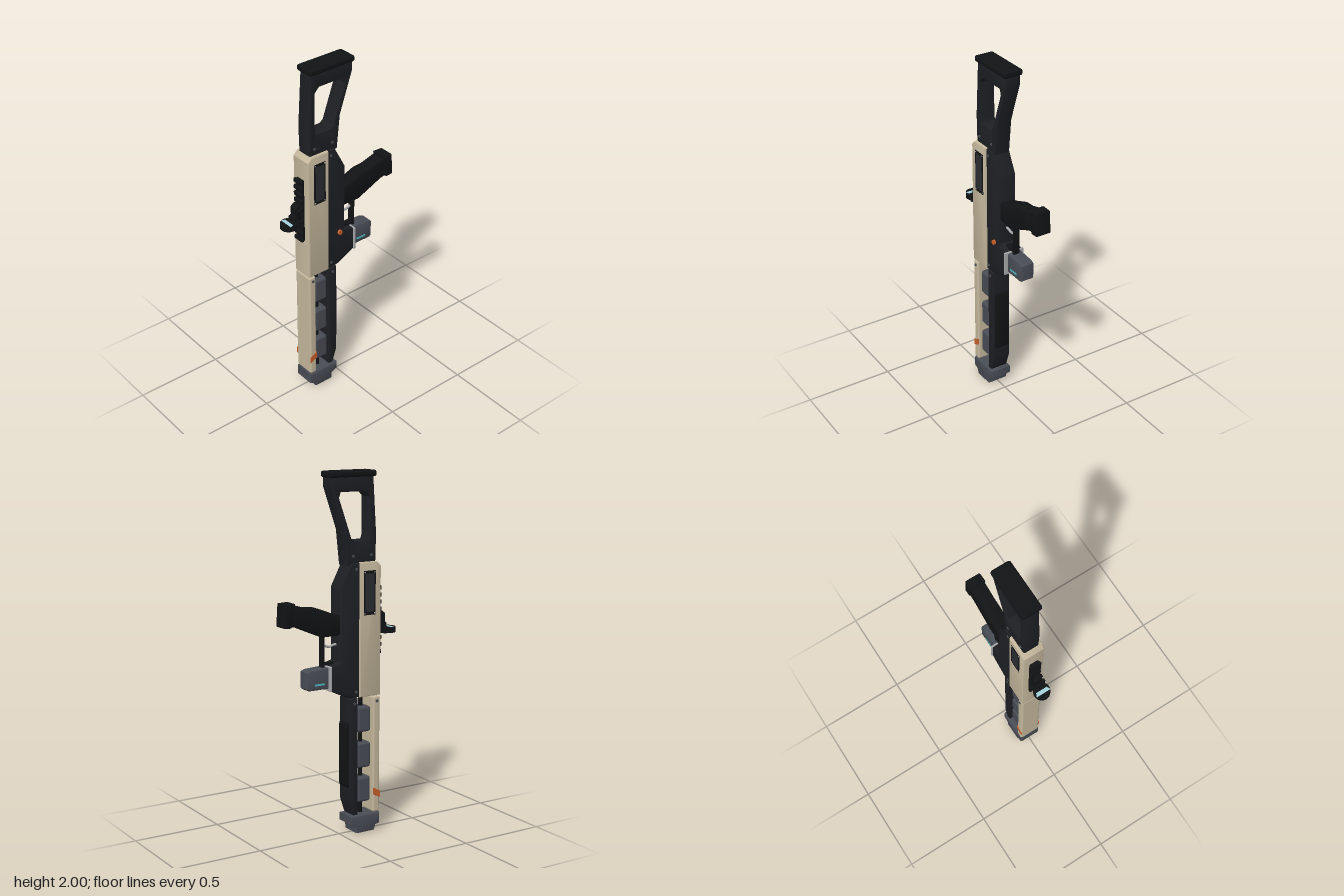
import * as THREE from 'three';
import { RoundedBoxGeometry } from 'three/addons/geometries/RoundedBoxGeometry.js';
import { toCreasedNormals } from 'three/addons/utils/BufferGeometryUtils.js';

const mat = (color) => new THREE.MeshStandardMaterial({ color });

export function createModel() {
  const group = new THREE.Group();
  const tan = mat(0xc4b79c), dark = mat(0x1d1f23), black = mat(0x121315), grey = mat(0x484c54);
  const light = mat(0xa8a9ab), orange = mat(0xc8602a), cyan = mat(0x4fbccb), glass = mat(0xa4d3dc);

  const add = (name, geometry, material, x = 0, y = 0, z = 0) => {
    const mesh = new THREE.Mesh(geometry, material);
    mesh.name = name;
    mesh.position.set(x, y, z);
    group.add(mesh);
    return mesh;
  };
  // Side profile of [z, y] points, extruded across x with chamfered edges
  const profile = (name, points, halfWidth, bevel, material, hole, x = 0) => {
    const shape = new THREE.Shape(points.map(([z, y]) => new THREE.Vector2(z, y)));
    if (hole) shape.holes.push(new THREE.Path(hole.map(([z, y]) => new THREE.Vector2(z, y))));
    const depth = 2 * (halfWidth - bevel);
    const geometry = new THREE.ExtrudeGeometry(shape, {
      depth, bevelEnabled: bevel > 0, bevelThickness: bevel, bevelSize: bevel, bevelOffset: -bevel, bevelSegments: 2,
    });
    geometry.translate(0, 0, -depth / 2).rotateY(-Math.PI / 2);
    return add(name, toCreasedNormals(geometry, 0.5), material, x);
  };
  // Box given by its extents in y and z, centred on x
  const box = (name, hw, y0, y1, z0, z1, material, radius = 0, x = 0) => {
    const size = [2 * hw, y1 - y0, z1 - z0];
    const geometry = radius ? new RoundedBoxGeometry(...size, 2, radius) : new THREE.BoxGeometry(...size);
    return add(name, geometry, material, x, (y0 + y1) / 2, (z0 + z1) / 2);
  };
  const pin = (name, r, x0, x1, y, z, material) =>
    add(name, new THREE.CylinderGeometry(r, r, x1 - x0, 16).rotateZ(Math.PI / 2), material, (x0 + x1) / 2, y, z);

  // Receiver
  profile('upperReceiver', [[0.095, 0.777], [0.23, 0.777], [0.23, 1.49], [0.205, 1.515], [0.095, 1.515]], 0.062, 0.007, tan);
  profile('lowerReceiver', [
    [0.1, 0.777], [0.1, 1.515], [0.045, 1.51], [-0.02, 1.385], [-0.02, 0.985], [-0.085, 0.965], [-0.085, 0.835], [0.03, 0.779],
  ], 0.055, 0.01, dark);

  // Stock with open centre and butt pad
  profile('stock', [
    [0.025, 1.5], [0.205, 1.5], [0.21, 1.66], [0.19, 1.975], [-0.075, 1.975], [-0.075, 1.92], [0.005, 1.69],
  ], 0.045, 0.008, dark, [
    [0.16, 1.63], [0.167, 1.65], [0.168, 1.86], [0.14, 1.89], [-0.015, 1.89], [-0.025, 1.86], [0.052, 1.645], [0.072, 1.63],
  ]);
  box('buttPad', 0.056, 1.966, 2, -0.082, 0.205, black, 0.012);

  // Grip with ribs and end cap
  profile('pistolGrip', [
    [0, 1.24], [-0.02, 1.238], [-0.06, 1.25], [-0.15, 1.285], [-0.21, 1.29], [-0.31, 1.318],
    [-0.335, 1.205], [-0.285, 1.197], [-0.205, 1.162], [-0.125, 1.128], [-0.03, 1.128], [0, 1.14],
  ], 0.042, 0.011, black);
  profile('gripCap', [[-0.297, 1.325], [-0.355, 1.323], [-0.363, 1.2], [-0.32, 1.197]], 0.046, 0.006, black);

  // Trigger and guard
  box('triggerGuard', 0.018, 0.96, 1.135, -0.116, -0.104, black);
  box('triggerGuardBase', 0.018, 0.97, 0.982, -0.116, -0.01, black);
  const triggerPath = new THREE.CatmullRomCurve3([[0.01, 1.075], [-0.03, 1.075], [-0.065, 1.067], [-0.1, 1.078]]
    .map(([z, y]) => new THREE.Vector3(0, y, z)));
  add('trigger', new THREE.TubeGeometry(triggerPath, 14, 0.007, 8), light);

  // Power cell with indicator strips
  box('cellCollar', 0.061, 0.832, 0.968, -0.092, -0.08, light, 0.004);
  profile('powerCell', [
    [-0.08, 0.845], [-0.08, 0.962], [-0.2, 0.955], [-0.222, 0.945], [-0.222, 0.855], [-0.21, 0.845],
  ], 0.04, 0.008, grey);
  for (const s of [-1, 1]) box('cellIndicator', 0.002, 0.87, 0.88, -0.176, -0.114, cyan, 0, s * 0.04);

  // Fore-end: tan cover, dark underside, rod and coils between
  box('foreEndCover', 0.061, 0.108, 0.772, 0.185, 0.23, tan, 0.012);
  profile('foreEndUnderside', [[0.09, 0.108], [0.09, 0.772], [0.038, 0.772], [0.038, 0.19], [0.065, 0.108]], 0.055, 0.009, dark);
  profile('foreGripPad', [[0.06, 0.27], [0.06, 0.635], [0.03, 0.635], [0.025, 0.62], [0.025, 0.285], [0.03, 0.27]], 0.042, 0.005, black);
  add('centreRod', new THREE.CylinderGeometry(0.012, 0.012, 0.7, 16), black, 0, 0.44, 0.138);
  for (const y of [0.645, 0.442, 0.245]) {
    box('coil', 0.044, y - 0.072, y + 0.072, 0.095, 0.181, grey, 0.015);
  }

  // Muzzle block with vent slot
  profile('muzzleBlock', [
    [0.04, 0.06], [0.04, 0.104], [0.23, 0.104], [0.23, 0.04], [0.203, 0.035], [0.193, 0.004], [0.08, 0.004], [0.077, 0.043],
  ], 0.063, 0.007, grey);
  box('muzzleSlot', 0.045, 0, 0.01, 0.115, 0.155, black);
  box('muzzleBand', 0.061, 0.03, 0.036, 0.085, 0.2, dark);

  // Top rail with teeth
  box('railBase', 0.026, 1.005, 1.375, 0.228, 0.243, black);
  for (let i = 0; i < 10; i++) {
    const y = 1.014 + i * 0.039;
    box('railTooth', 0.032, y - 0.011, y + 0.011, 0.24, 0.255, black, 0.003);
  }

  // Sight: mount, clamps, round housing and lens
  profile('sightMount', [
    [0.25, 1.11], [0.25, 1.235], [0.268, 1.235], [0.285, 1.22], [0.285, 1.175], [0.295, 1.165], [0.295, 1.11],
  ], 0.022, 0.003, black);
  for (const s of [-1, 1]) box('sightClamp', 0.012, 1.11, 1.15, 0.266, 0.282, black, 0.003, s * 0.033);
  add('sightHousing', new THREE.CylinderGeometry(0.045, 0.045, 0.03, 32), black, 0, 1.125, 0.316);
  const lens = new THREE.Shape([[-0.043, 0.011], [0.043, 0.011], [0.033, -0.011], [-0.033, -0.011]]
    .map(([x, z]) => new THREE.Vector2(x, z)));
  for (const s of [-1, 1]) {
    const window = add('sightLens', new THREE.ShapeGeometry(lens), glass, 0, 1.125 + s * 0.016, 0.323);
    window.rotation.x = -s * Math.PI / 2;
    window.scale.y = s === 1 ? -1 : 1;
    window.material = glass.clone();
    window.material.side = THREE.DoubleSide;
  }
  const knob = pin('sightKnob', 0.009, 0.02, 0.034, 1.2, 0.262, black);
  knob.scale.x = 1.1;

  // Mirrored side details
  for (const s of [-1, 1]) {
    box('sidePanelFrame', 0.002, 1.228, 1.468, 0.118, 0.193, black, 0, s * 0.062);
    box('sidePanel', 0.002, 1.245, 1.452, 0.128, 0.183, grey, 0, s * 0.0635).material = mat(0x2a2d32);
    for (const y of [1.237, 1.46]) for (const z of [0.124, 0.187]) pin('panelScrew', 0.004, s * 0.064 - 0.002, s * 0.064 + 0.002, y, z, light);
    for (const [y, z, x] of [[1.48, 0.075, 0.055], [0.81, 0.075, 0.055], [1.55, 0.175, 0.045], [1.55, 0.06, 0.045], [0.745, 0.207, 0.061], [0.745, 0.065, 0.055]]) {
      pin('sidePin', 0.008, s * x - 0.004, s * x + 0.004, y, z, grey);
    }
    profile('warningStripe', [[0.231, 0.19], [0.231, 0.228], [0.186, 0.252], [0.186, 0.212]], 0.002, 0, orange, null, s * 0.0615);
  }
  pin('selectorButton', 0.014, 0.045, 0.066, 0.985, 0.018, orange);

  return group;
}
